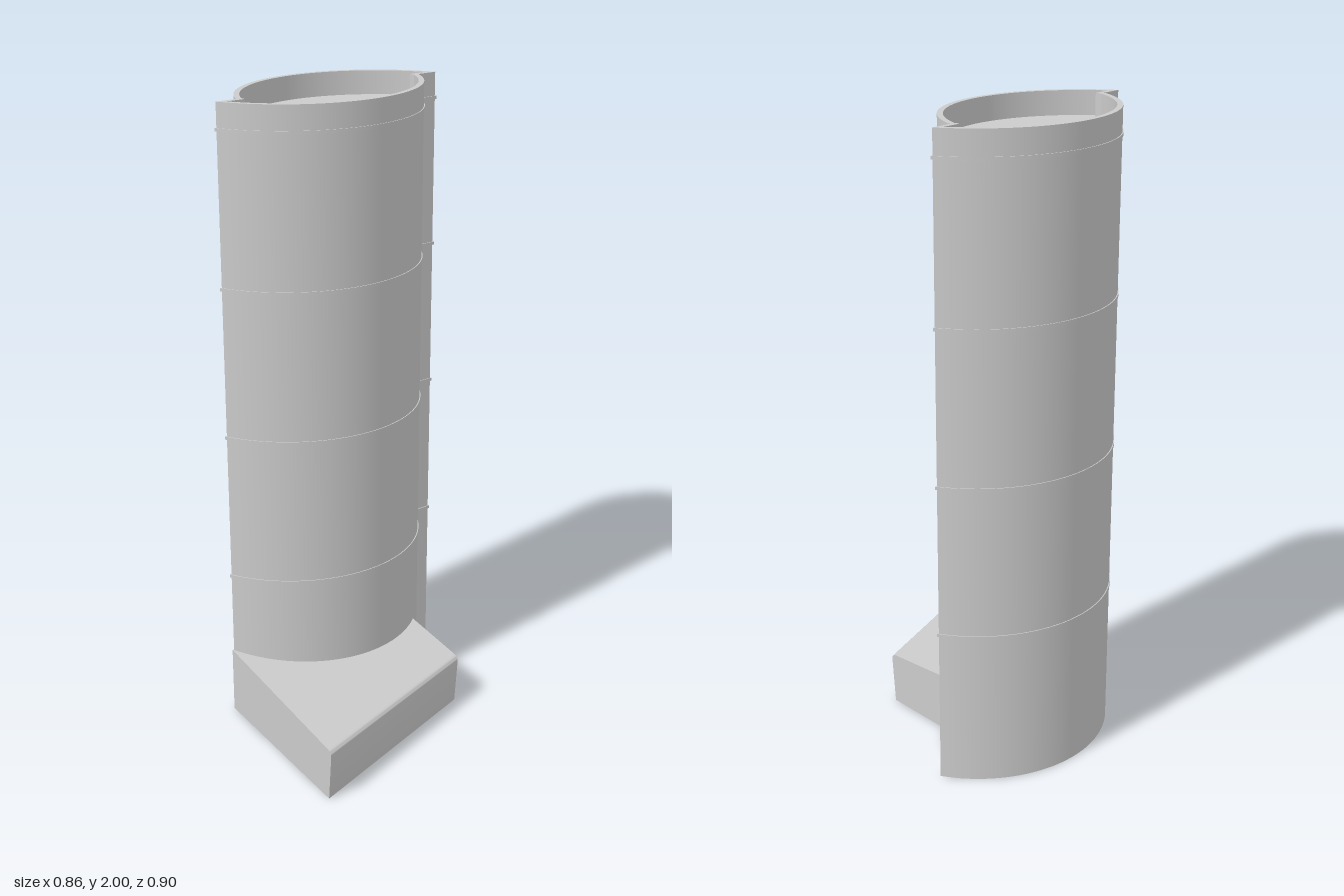
import * as THREE from 'three';
import { toCreasedNormals } from 'three/addons/utils/BufferGeometryUtils.js';

const R = 0.4215, MID = -0.18;              // arc radius, x of the two tips
const LEFT = { x: -0.0085, z: -0.07 };      // centre of the arc bulging to -x
const RIGHT = { x: -0.3515, z: 0.0025 };    // centre of the arc bulging to +x

// Plan of the tower: two offset arcs meeting at stepped tips, moved inwards by `inset`
function plan(inset) {
  const r = R - inset, n = 48, pts = [];
  const angle = (c, x, side) => Math.atan2(side * Math.sqrt(r * r - (x - c.x) ** 2), x - c.x);
  const add = (x, z) => pts.push(new THREE.Vector2(x, -z));
  const arc = (c, a0, a1) => {
    for (let i = 0; i <= n; i++) {
      const a = a0 + (a1 - a0) * i / n;
      add(c.x + r * Math.cos(a), c.z + r * Math.sin(a));
    }
  };
  const frontL = angle(LEFT, MID, 1);
  arc(LEFT, angle(LEFT, MID - inset, -1) + 2 * Math.PI, frontL);
  if (inset > 0) add(MID + inset, LEFT.z + r * Math.sin(frontL));
  const backR = angle(RIGHT, MID, -1);
  arc(RIGHT, angle(RIGHT, MID + inset, 1), backR);
  if (inset > 0) add(MID - inset, RIGHT.z + r * Math.sin(backR));
  return pts;
}

function raise(outer, hole, y, height) {
  const shape = new THREE.Shape(outer);
  if (hole) shape.holes.push(new THREE.Path(hole));
  const g = new THREE.ExtrudeGeometry(shape, { depth: height, bevelEnabled: false });
  g.rotateX(-Math.PI / 2).translate(0, y, 0);
  return toCreasedNormals(g, 0.4);
}

// Annex: sloping roof profile swept between two oblique end walls
function annexGeometry() {
  const outer = 0.2975, inner = -0.275, slope = 0.0873;
  const roofY = d => 0.17 + (outer - d) * slope;
  const s = new THREE.Shape();
  s.moveTo(inner, 0);
  s.lineTo(outer - 0.0145, 0);
  s.lineTo(outer - 0.002, 0.15);
  s.quadraticCurveTo(outer, roofY(outer), outer - 0.02, roofY(outer - 0.02));
  s.lineTo(inner, roofY(inner));
  const g = new THREE.ExtrudeGeometry(s, { depth: 1, bevelEnabled: false, curveSegments: 8 });
  const p = g.attributes.position;
  for (let i = 0; i < p.count; i++) {
    const back = 1 - p.getZ(i);
    let d = p.getX(i), y = p.getY(i);
    if (d < inner + 0.01) {                 // hidden edge stays inside the tower
      d = inner + 0.169 * back;
      if (y > 0.1) y = roofY(d);
    }
    p.setXYZ(i,
      0.43 + (d - outer) * 1.0655 - back * 0.18,
      y,
      0.45 + (d - outer) * 0.11 - back * 0.665);
  }
  return toCreasedNormals(g, 0.6);
}

export function createModel() {
  const model = new THREE.Group();
  const material = new THREE.MeshStandardMaterial({ color: 0xcccccc });
  const add = (name, geometry) => {
    const mesh = new THREE.Mesh(geometry, material);
    mesh.name = name;
    model.add(mesh);
  };

  // Outer wall, rising past the roof as a parapet
  add('towerWall', raise(plan(0.003), plan(0.02), 0, 2));
  add('groundFloor', raise(plan(0.02), null, 0, 0.01));

  // Slabs with edges slightly proud of the wall; the highest is the roof
  for (let i = 1; i <= 4; i++) {
    add(i < 4 ? 'floorSlab' + i : 'roofSlab', raise(plan(0), null, 0.009 + i * 0.4765, 0.01));
  }

  add('annex', annexGeometry());
  return model;
}
